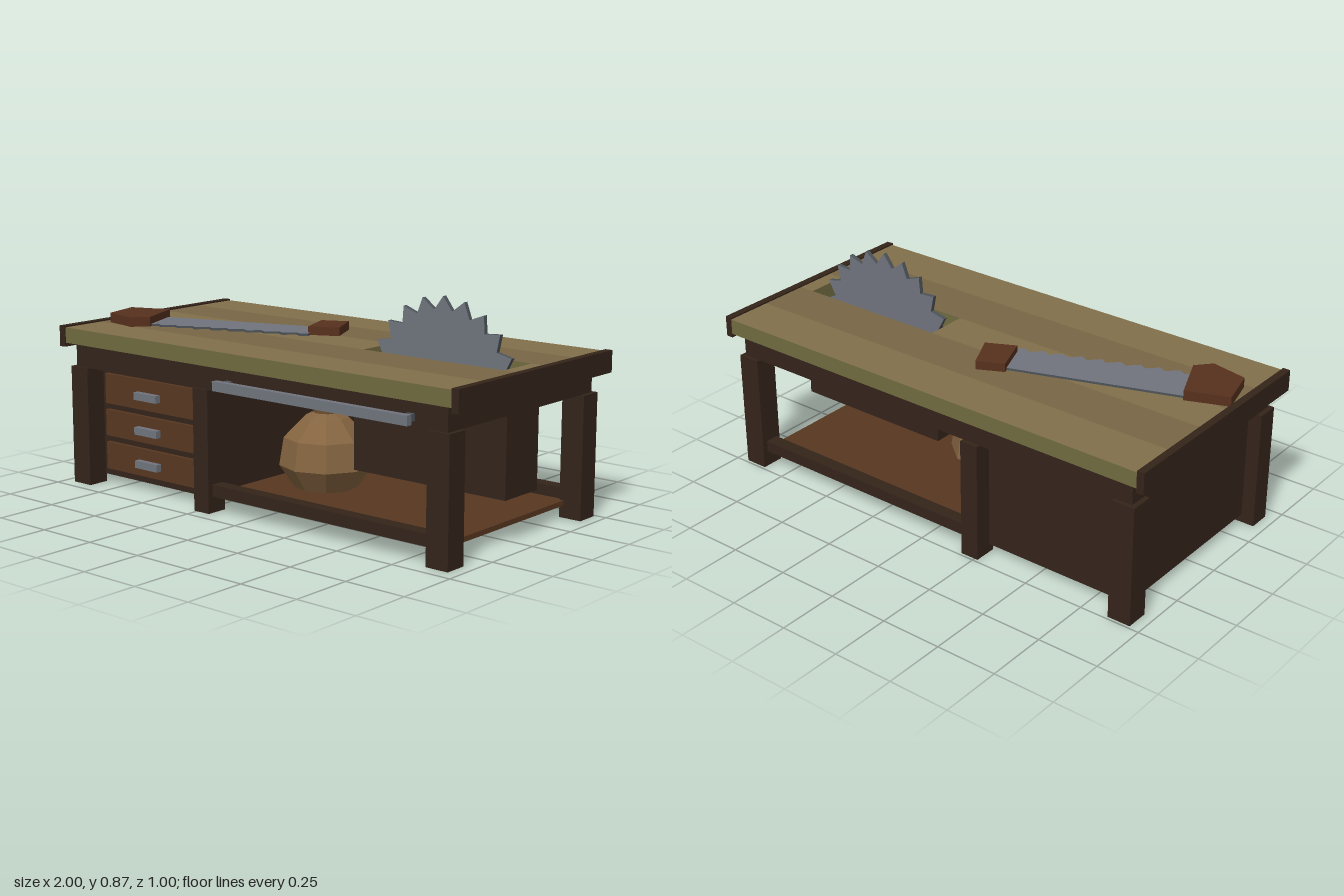
import * as THREE from 'three';

const paint = (color) => new THREE.MeshStandardMaterial({ color, flatShading: true });

export function createModel() {
  const root = new THREE.Group();
  const dark = paint(0x34241a), red = paint(0x573720), handleWood = paint(0x57301d);
  const plankA = paint(0x826f4b), plankB = paint(0x786745), plankEdge = paint(0x716b40);
  const steel = paint(0x70747d), darkSteel = paint(0x4c5358), cloth = paint(0x846440), knot = paint(0x5c4228);

  const add = (name, geometry, material) => {
    const mesh = new THREE.Mesh(geometry, material);
    mesh.name = name;
    root.add(mesh);
    return mesh;
  };
  // Box given by its limits on each axis
  const box = (name, mat, x0, x1, y0, y1, z0, z1) =>
    add(name, new THREE.BoxGeometry(x1 - x0, y1 - y0, z1 - z0)
      .translate((x0 + x1) / 2, (y0 + y1) / 2, (z0 + z1) / 2), mat);
  // Flat outline of [x, z] points, raised from y0 to y1
  const slab = (name, mat, points, y0, y1) => {
    const shape = new THREE.Shape(points.map(([x, z]) => new THREE.Vector2(x, -z)));
    const g = new THREE.ExtrudeGeometry(shape, { depth: y1 - y0, bevelEnabled: false });
    return add(name, g.rotateX(-Math.PI / 2).translate(0, y0, 0), mat);
  };

  // Table top: five planks, the middle one split around the blade slot
  const seams = [-0.505, -0.31, -0.107, 0.065, 0.27, 0.46];
  for (let i = 0; i < 5; i++) {
    const top = i % 2 ? plankB : plankA;
    const faces = [plankEdge, plankEdge, top, plankEdge, plankEdge, plankEdge];
    const spans = i === 2 ? [[-0.97, 0.265], [0.905, 0.97]] : [[-0.97, 0.97]];
    for (const [a, b] of spans)
      box('topPlank', faces, a, b, 0.58, 0.643, seams[i], seams[i + 1]);
  }
  box('endCapRight', dark, -1, -0.97, 0.564, 0.649, -0.505, 0.465);
  box('endCapLeft', dark, 0.97, 1, 0.564, 0.649, -0.505, 0.465);

  // Apron frame
  box('apronFront', dark, -0.935, 0.935, 0.485, 0.58, 0.365, 0.434);
  box('apronBack', dark, -0.935, 0.935, 0.485, 0.58, -0.472, -0.403);
  box('apronRight', dark, -0.935, -0.905, 0.485, 0.58, -0.403, 0.365);
  box('apronLeft', dark, 0.905, 0.935, 0.485, 0.58, -0.403, 0.365);

  // Six legs
  for (const [x0, x1] of [[-0.955, -0.86], [-0.264, -0.187], [0.857, 0.952]]) {
    box('frontLeg', dark, x0, x1, 0, 0.485, 0.356, 0.447);
    box('backLeg', dark, x0, x1, 0, 0.485, -0.488, -0.394);
  }

  // Drawer cabinet
  box('cabinet', dark, -0.9, -0.21, 0.034, 0.49, -0.415, 0.36);
  for (const [y0, y1] of [[0.064, 0.176], [0.203, 0.311], [0.337, 0.46]]) {
    const y = (y0 + y1) / 2;
    box('drawerFront', red, -0.83, -0.3, y0, y1, 0.36, 0.378);
    box('drawerHandle', steel, -0.627, -0.503, y - 0.015, y + 0.015, 0.39, 0.415);
    for (const x of [-0.61, -0.535])
      box('handlePost', darkSteel, x, x + 0.015, y - 0.009, y + 0.009, 0.378, 0.39);
  }

  // Lower shelf and its rails
  box('shelf', red, -0.21, 0.875, 0.048, 0.068, -0.415, 0.38);
  box('shelfRailFront', dark, -0.19, 0.86, 0.065, 0.112, 0.37, 0.425);
  box('shelfRailBack', dark, -0.19, 0.86, 0.065, 0.112, -0.465, -0.41);

  // Hollow housing below the slot
  box('housingFloor', dark, 0.235, 0.934, 0.175, 0.19, -0.119, 0.083);
  box('housingFront', dark, 0.235, 0.934, 0.19, 0.58, 0.065, 0.083);
  box('housingBack', dark, 0.235, 0.934, 0.19, 0.58, -0.119, -0.107);
  box('housingRight', dark, 0.235, 0.265, 0.19, 0.58, -0.107, 0.065);
  box('housingLeft', dark, 0.905, 0.934, 0.19, 0.58, -0.107, 0.065);

  // Circular blade with dark rim, and hub
  const teeth = 22, disc = [];
  for (let i = 0; i < teeth * 2; i++) {
    const a = Math.PI / 2 + (i * Math.PI) / teeth, r = i % 2 ? 0.287 : 0.338;
    disc.push(new THREE.Vector2(r * Math.cos(a), r * Math.sin(a)));
  }
  add('circularBlade', new THREE.ExtrudeGeometry(new THREE.Shape(disc), { depth: 0.018, bevelEnabled: false })
    .translate(0.578, 0.53, -0.028), [steel, darkSteel]);
  add('bladeHub', new THREE.CylinderGeometry(0.055, 0.055, 0.055, 8)
    .rotateX(Math.PI / 2).translate(0.585, 0.53, -0.019), darkSteel);

  // Front rail on two brackets
  box('frontBar', steel, -0.11, 0.81, 0.501, 0.538, 0.474, 0.5);
  for (const x of [-0.08, 0.78])
    box('barBracket', darkSteel, x - 0.015, x + 0.015, 0.507, 0.533, 0.434, 0.474);

  // Hand saw: blade with a toothed front edge, two wooden grips
  const outline = [[-0.83, 0.05], [-0.155, -0.18], [-0.09, -0.025]];
  const n = 9;
  for (let i = 0; i < n; i++) {
    const x = -0.09 - (0.637 * (i + 0.35)) / n, z = -0.025 + (0.235 * (i + 0.35)) / n;
    outline.push([x, z + 0.012], [x - 0.03, z - 0.003]);
  }
  outline.push([-0.727, 0.21], [-0.78, 0.2]);
  slab('handSawBlade', [steel, darkSteel], outline.reverse(), 0.64, 0.652);
  slab('handSawGrip', handleWood,
    [[-0.973, 0.09], [-0.93, 0.25], [-0.78, 0.28], [-0.727, 0.22], [-0.81, 0.026]], 0.643, 0.682);
  slab('handSawEndGrip', handleWood,
    [[-0.166, -0.195], [-0.107, -0.044], [0.007, -0.1], [-0.064, -0.245]], 0.643, 0.677);

  // Tied sack: faceted lathe with a knot on top
  const profile = [[0, 0.068], [0.125, 0.068], [0.186, 0.158], [0.168, 0.268], [0.09, 0.345], [0.04, 0.37], [0, 0.37]];
  const sack = add('sack', new THREE.LatheGeometry(profile.map(([r, y]) => new THREE.Vector2(r, y)), 9), cloth);
  sack.position.set(0.04, 0, 0.018);
  add('sackKnot', new THREE.CylinderGeometry(0.025, 0.056, 0.035, 8).translate(0.042, 0.383, 0.018), knot);

  return root;
}
